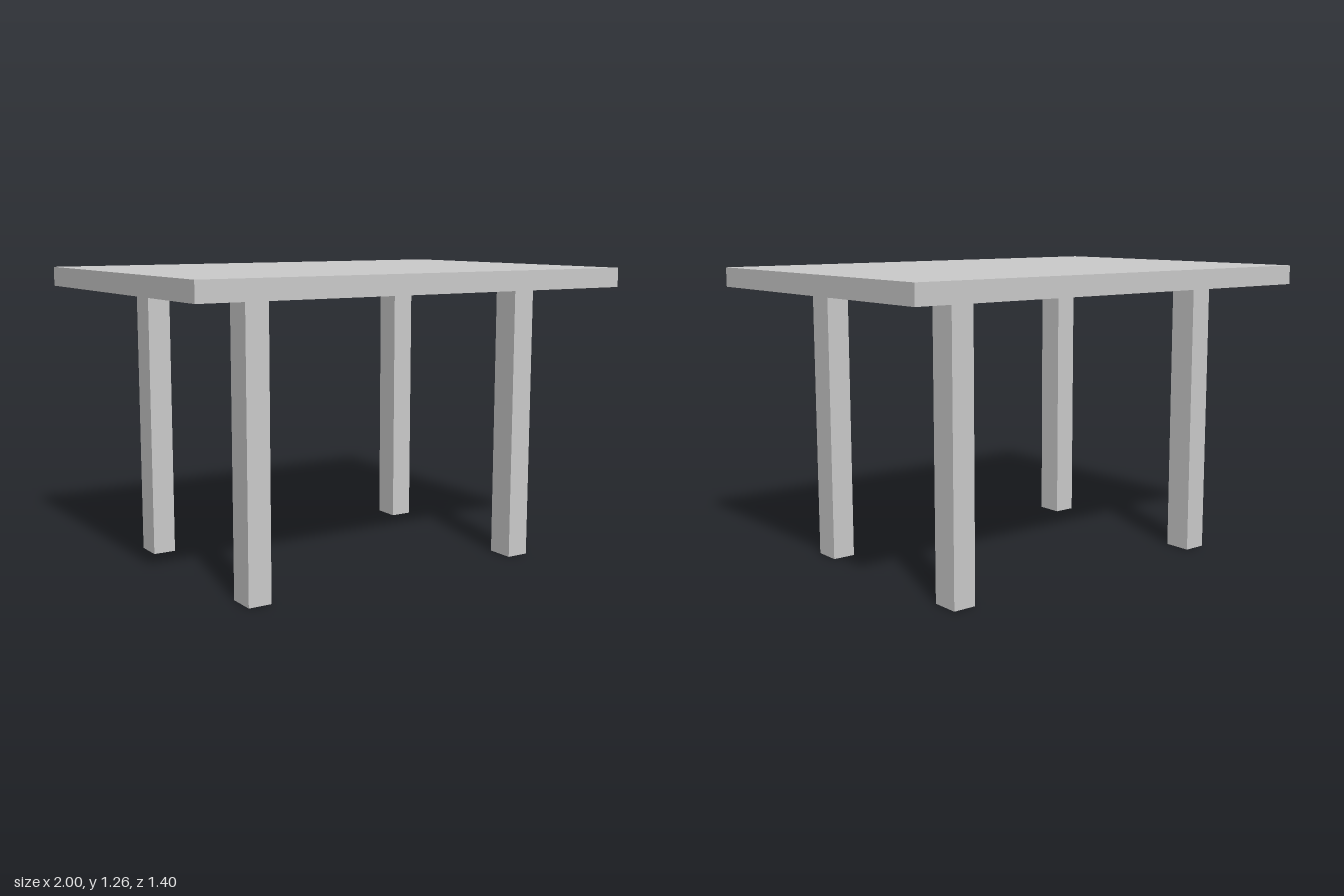
import * as THREE from 'three';

const LEG_HEIGHT = 1.183;
const TOP_THICKNESS = 0.082;

export function createModel() {
  const model = new THREE.Group();
  model.name = 'table';
  const material = new THREE.MeshStandardMaterial({ color: 0xcccccc, flatShading: true });

  const addBox = (name, size, position) => {
    const mesh = new THREE.Mesh(new THREE.BoxGeometry(...size), material);
    mesh.name = name;
    mesh.position.set(...position);
    model.add(mesh);
  };

  // Table top
  addBox('tableTop', [2, TOP_THICKNESS, 1.4], [0, LEG_HEIGHT + TOP_THICKNESS / 2, 0]);

  // Four legs, inset from the edges
  for (const [sideX, nameX] of [[1, 'Left'], [-1, 'Right']]) {
    for (const [sideZ, nameZ] of [[1, 'front'], [-1, 'back']]) {
      addBox(`${nameZ}${nameX}Leg`, [0.1, LEG_HEIGHT, 0.12], [sideX * 0.65, LEG_HEIGHT / 2, sideZ * 0.44]);
    }
  }

  return model;
}
